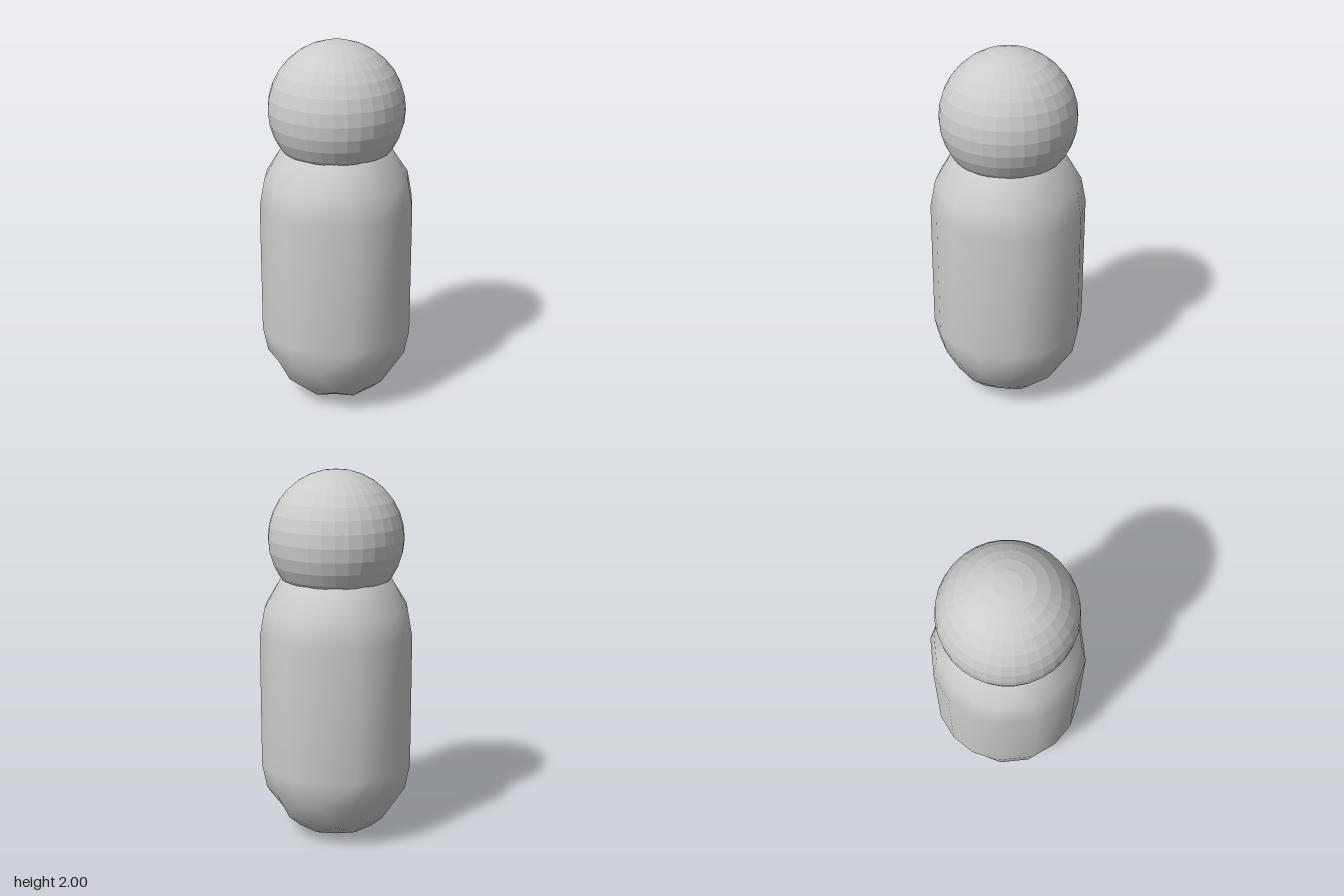
import * as THREE from 'three';
import { mergeVertices } from 'three/addons/utils/BufferGeometryUtils.js';

// Coarse, grid-like capsule: each ring holds twelve points, three cells wide per side.
// Ring: [a, b, c, ya, yb] = side point (a, 0.07) at height ya, corner point (b, c) at height yb.
const lowerRings = [
  [0.07, 0.07, 0.07, 0.0, 0.0],
  [0.21, 0.21, 0.21, 0.05, 0.12],
  [0.29, 0.21, 0.21, 0.12, 0.12],
  [0.37, 0.325, 0.21, 0.265, 0.265],
  [0.41, 0.36, 0.21, 0.41, 0.41],
];
const HEIGHT = 1.54;

function ringPoints([a, b, c, ya, yb]) {
  const quarter = [[a, 0.07, ya], [b, c, yb], [c, b, yb], [0.07, a, ya]];
  const points = [];
  for (let q = 0; q < 4; q++) {
    for (const [x, z, y] of quarter) {
      const p = [[x, z], [-z, x], [-x, -z], [z, -x]][q];
      points.push(new THREE.Vector3(p[0], y, p[1]));
    }
  }
  return points;
}

function bodyGeometry() {
  // The upper half mirrors the lower one
  const upperRings = lowerRings.map(([a, b, c, ya, yb]) => [a, b, c, HEIGHT - ya, HEIGHT - yb]).reverse();
  const rings = [...lowerRings, ...upperRings].map(ringPoints);
  const positions = [];
  const triangle = (a, b, c) => {
    const area = b.clone().sub(a).cross(c.clone().sub(a)).length();
    if (area > 1e-7) for (const p of [a, b, c]) positions.push(p.x, p.y, p.z);
  };
  const n = rings[0].length;
  const bottom = new THREE.Vector3(0, 0, 0);
  const top = new THREE.Vector3(0, HEIGHT, 0);
  for (let i = 0; i < n; i++) {
    const k = (i + 1) % n;
    for (let j = 0; j < rings.length - 1; j++) {
      triangle(rings[j][i], rings[j + 1][i], rings[j][k]);
      triangle(rings[j][k], rings[j + 1][i], rings[j + 1][k]);
    }
    triangle(bottom, rings[0][i], rings[0][k]);
    triangle(top, rings[rings.length - 1][k], rings[rings.length - 1][i]);
  }
  const geometry = new THREE.BufferGeometry();
  geometry.setAttribute('position', new THREE.Float32BufferAttribute(positions, 3));
  const merged = mergeVertices(geometry, 1e-4);
  merged.computeVertexNormals();
  return merged;
}

export function createModel() {
  const model = new THREE.Group();
  model.name = 'figure';

  // Smooth-shaded capsule body
  const body = new THREE.Mesh(bodyGeometry(), new THREE.MeshStandardMaterial({ color: 0xcccccc }));
  body.name = 'body';

  // Faceted ball head, sunk into the top of the body
  const head = new THREE.Mesh(
    new THREE.SphereGeometry(0.36, 32, 16),
    new THREE.MeshStandardMaterial({ color: 0xcccccc, flatShading: true })
  );
  head.name = 'head';
  head.position.y = 1.64;

  model.add(body, head);
  return model;
}
